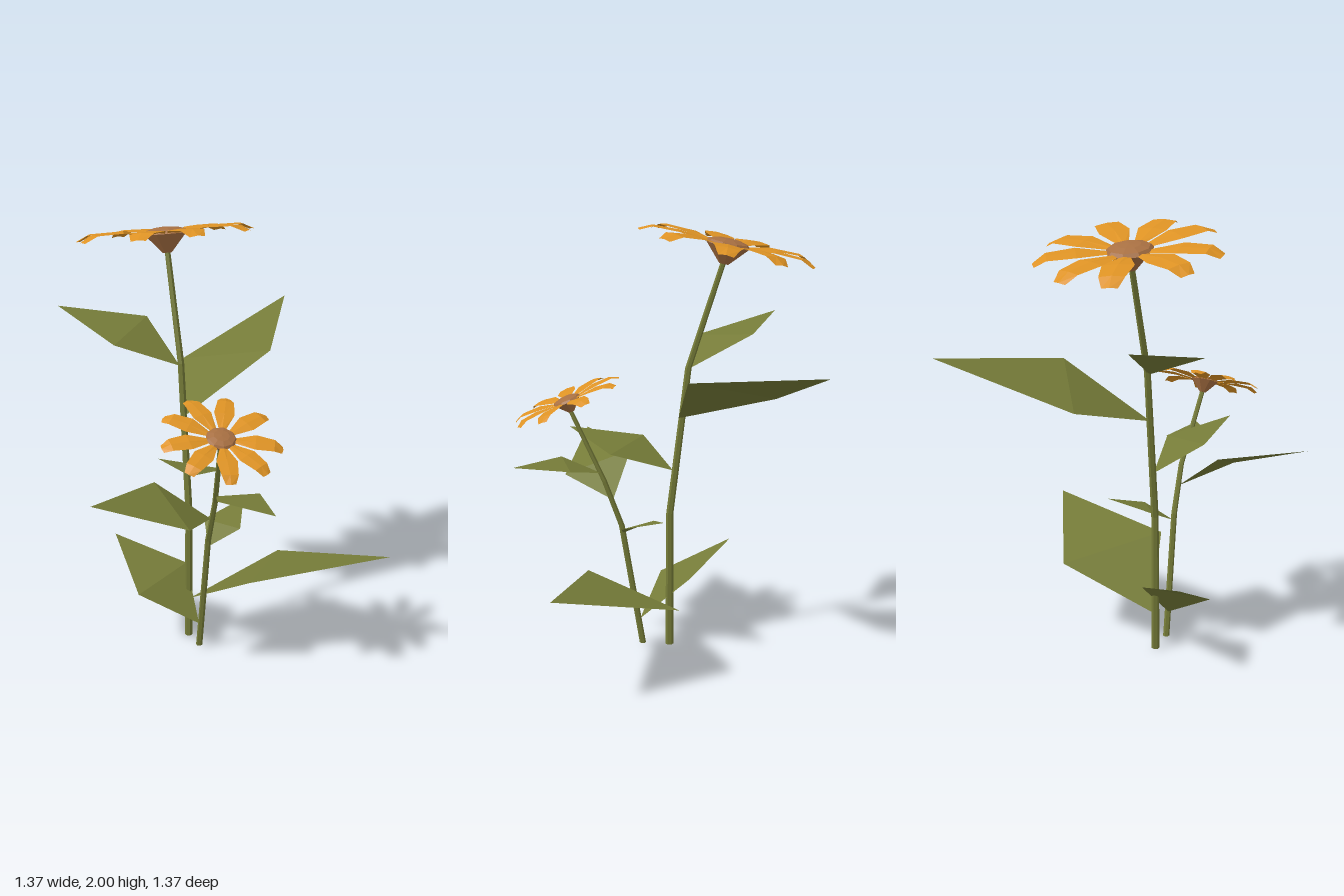
import * as THREE from 'three';

const mat = (name, color) => Object.assign(
  new THREE.MeshStandardMaterial({ color, side: THREE.DoubleSide }), { name });

// unshared corners give each facet its own normal
function faceted(geo) {
  const g = geo.index ? geo.toNonIndexed() : geo;
  g.computeVertexNormals();
  return g;
}

function addMesh(parent, name, geo, material) {
  const m = new THREE.Mesh(faceted(geo), material);
  m.name = name;
  parent.add(m);
  return m;
}

// six-sided stem bent through a list of points, listed from the top down
function stemGeometry(points, rTop, rBase) {
  const n = points.length - 1;
  const g = new THREE.CylinderGeometry(rTop, rBase, 1, 6, n);
  const p = g.attributes.position;
  for (let i = 0; i < p.count; i++) {
    const [x, y, z] = points[Math.round((0.5 - p.getY(i)) * n)];
    p.setXYZ(i, p.getX(i) + x, y, p.getZ(i) + z);
  }
  return g;
}

// kite-shaped leaf folded across its widest line
function leafGeometry([root, a, b, tip]) {
  const g = new THREE.BufferGeometry();
  const flip = (b[0] - a[0]) * (tip[2] - root[2]) - (b[2] - a[2]) * (tip[0] - root[0]) > 0;
  const [l, r] = flip ? [b, a] : [a, b];
  const corners = [root, l, r, l, tip, r].flat();
  g.setAttribute('position', new THREE.Float32BufferAttribute(corners, 3));
  return g;
}

// petal rows: distance from centre, half width, height
const PETAL = [[0.08, 0.02, 0], [0.225, 0.069, 0.018], [0.35, 0.055, 0.016], [0.405, 0.034, -0.012]];

function petalGeometry() {
  const g = new THREE.PlaneGeometry(2, 1, 2, PETAL.length - 1);
  const p = g.attributes.position;
  for (let i = 0; i < p.count; i++) {
    const row = Math.round((0.5 - p.getY(i)) * (PETAL.length - 1));
    const [r, w, h] = PETAL[row];
    const mid = p.getX(i) === 0 ? 1 : 0;
    p.setXYZ(i, p.getX(i) * w, h + mid * 0.005, r + (row === 3 ? mid * 0.006 : 0));
  }
  return g;
}

function flower(name, angles, mats) {
  const f = new THREE.Group();
  f.name = name;
  for (const a of angles) {
    addMesh(f, 'petal', petalGeometry(), mats.petal).rotation.y = THREE.MathUtils.degToRad(a);
  }
  // domed centre and the cup below it
  const dome = new THREE.SphereGeometry(0.106, 9, 3, 0, Math.PI * 2, 0, Math.PI / 2);
  dome.scale(1, 0.3, 1);
  addMesh(f, 'flowerCentre', dome, mats.centre);
  const cup = new THREE.CylinderGeometry(0.1, 0.022, 0.085, 8, 1);
  cup.translate(0, -0.0425, 0);
  addMesh(f, 'flowerCup', cup, mats.centre);
  return f;
}

export function createModel() {
  const model = new THREE.Group();
  model.name = 'floweringPlant';
  const mats = {
    green: mat('leafGreen', 0x757b38),
    petal: mat('petalOrange', 0xdd9224),
    centre: mat('centreBrown', 0xa87042),
  };

  // stems
  addMesh(model, 'tallStem', stemGeometry([
    [-0.105, 1.84, -0.288], [-0.102, 1.35, -0.13], [-0.1, 0.65, -0.045], [-0.105, 0, -0.045],
  ], 0.013, 0.019), mats.green);
  addMesh(model, 'shortStem', stemGeometry([
    [-0.127, 1.15, 0.415], [-0.09, 0.82, 0.26], [-0.092, 0.6, 0.18], [-0.1, 0.01, 0.083],
  ], 0.011, 0.015), mats.green);

  // leaves: root, two side corners, tip
  const leaves = [
    ['tallStemLowLeaf', [[-0.09, 0.185, -0.06], [0.05, 0.43, 0.335], [0.37, 0.35, -0.074], [0.685, 0.51, 0.476]]],
    ['tallStemMiddleLeaf', [[-0.1, 0.865, -0.06], [-0.29, 0.99, 0.075], [-0.03, 0.96, 0.23], [-0.267, 1.04, 0.425]]],
    ['tallStemLeftLeaf', [[-0.095, 1.115, -0.085], [0.05, 1.235, -0.52], [0.33, 1.365, -0.11], [0.655, 1.446, -0.675]]],
    ['tallStemRightLeaf', [[-0.11, 1.34, -0.125], [-0.4, 1.453, -0.182], [-0.16, 1.495, -0.43], [-0.547, 1.548, -0.57]]],
    ['shortStemLowLeaf', [[-0.105, 0.13, 0.095], [-0.366, 0.28, -0.01], [-0.08, 0.335, -0.14], [-0.366, 0.445, -0.35]]],
    ['shortStemSmallLeaf', [[-0.09, 0.565, 0.175], [0.065, 0.63, 0.18], [-0.052, 0.635, 0.03], [0.162, 0.69, -0.012]]],
    ['shortStemRightLeaf', [[-0.095, 0.725, 0.22], [-0.33, 0.907, 0.137], [-0.28, 0.8, 0.45], [-0.688, 0.938, 0.352]]],
    ['shortStemFrontLeaf', [[-0.09, 0.857, 0.275], [0.06, 0.902, 0.41], [-0.16, 0.92, 0.46], [0.02, 0.913, 0.675]]],
  ];
  for (const [name, corners] of leaves) addMesh(model, name, leafGeometry(corners), mats.green);

  // flowers, with slightly uneven petal spacing
  const tall = flower('tallFlower', [0, 43, 85, 122, 162, -165, -119, -84, -36], mats);
  tall.position.set(-0.105, 1.908, -0.305);
  tall.rotation.x = -0.21;
  const short = flower('shortFlower', [27, 65, 112, 155, -166, -130, -89, -50, -11], mats);
  short.position.set(-0.13, 1.193, 0.43);
  short.rotation.x = 0.4;
  short.scale.setScalar(0.65);
  model.add(tall, short);
  return model;
}
